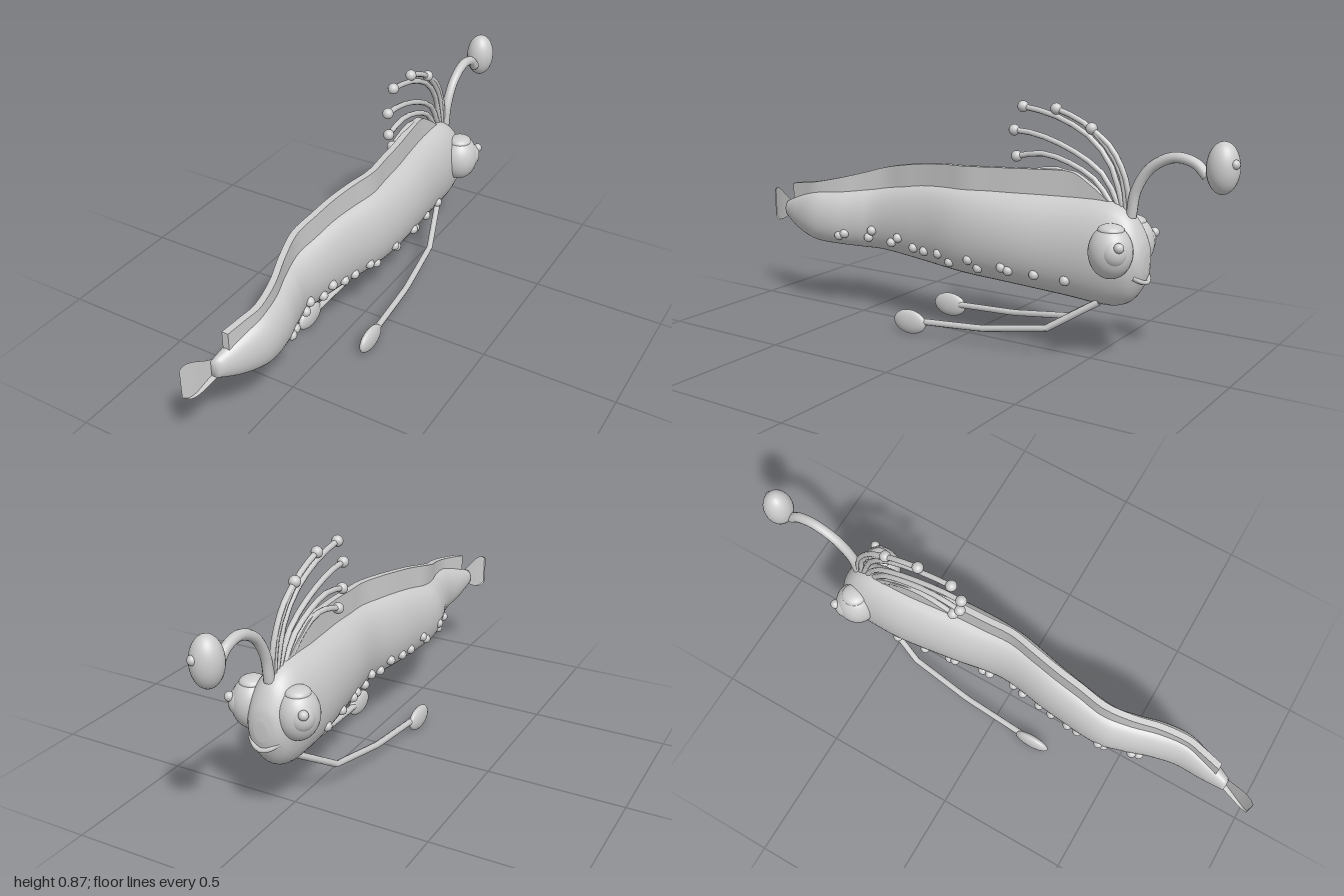
import * as THREE from 'three';

const V = (x, y, z) => new THREE.Vector3(x, y, z);

// Body stations from tail to snout: z, centre x, half width, bottom y, top y
const BODY = [
  [0.89, -0.012, 0.022, 0.340, 0.405], [0.80, 0.010, 0.043, 0.300, 0.440],
  [0.70, 0.026, 0.056, 0.275, 0.468], [0.60, 0.012, 0.064, 0.268, 0.477],
  [0.50, -0.018, 0.067, 0.263, 0.490], [0.40, -0.036, 0.069, 0.260, 0.507],
  [0.20, -0.013, 0.074, 0.250, 0.540], [0.00, 0.022, 0.081, 0.243, 0.552],
  [-0.20, 0.012, 0.099, 0.232, 0.560], [-0.40, -0.008, 0.102, 0.216, 0.565],
  [-0.53, -0.012, 0.098, 0.206, 0.566], [-0.60, -0.012, 0.092, 0.211, 0.552],
  [-0.65, -0.010, 0.080, 0.238, 0.515], [-0.685, -0.008, 0.055, 0.290, 0.455],
  [-0.697, -0.006, 0.025, 0.335, 0.405],
];

// Linear lookup of a station table at a given z
function at(table, z) {
  let i = 0;
  while (i < table.length - 2 && table[i + 1][0] > z) i++;
  const a = table[i], b = table[i + 1];
  const k = THREE.MathUtils.clamp((z - a[0]) / (b[0] - a[0]), 0, 1);
  return a.map((v, n) => v + (b[n] - v) * k);
}

// Smooth closed skin through elliptical cross-sections
function loft(table, steps, sides) {
  const centre = new THREE.CatmullRomCurve3(table.map(s => V(s[1], (s[3] + s[4]) / 2, s[0])), false, 'catmullrom');
  const size = new THREE.CatmullRomCurve3(table.map(s => V(s[2], (s[4] - s[3]) / 2, 0)), false, 'catmullrom');
  const pos = [], index = [];
  for (let i = 0; i <= steps + 2; i++) {
    const t = THREE.MathUtils.clamp((i - 1) / steps, 0, 1);
    const c = centre.getPoint(t), r = size.getPoint(t);
    const k = i === 0 || i === steps + 2 ? 0.001 : 1;
    for (let j = 0; j < sides; j++) {
      const a = j / sides * Math.PI * 2;
      pos.push(c.x + Math.cos(a) * r.x * k, c.y + Math.sin(a) * r.y * k, c.z);
    }
  }
  for (let i = 0; i < steps + 2; i++) for (let j = 0; j < sides; j++) {
    const a = i * sides + j, b = i * sides + (j + 1) % sides;
    index.push(a, a + sides, b, b, a + sides, b + sides);
  }
  const g = new THREE.BufferGeometry();
  g.setAttribute('position', new THREE.Float32BufferAttribute(pos, 3));
  g.setIndex(index);
  g.computeVertexNormals();
  return g;
}

// Thin upright blade: a box bent through the same kind of stations
function blade(table, steps) {
  const mid = new THREE.CatmullRomCurve3(table.map(s => V(s[1], (s[3] + s[4]) / 2, s[0])), false, 'catmullrom');
  const size = new THREE.CatmullRomCurve3(table.map(s => V(s[2], (s[4] - s[3]) / 2, 0)), false, 'catmullrom');
  const g = new THREE.BoxGeometry(2, 2, 2, 1, 4, steps);
  const p = g.attributes.position;
  for (let i = 0; i < p.count; i++) {
    const t = (1 - p.getZ(i)) / 2, c = mid.getPoint(t), r = size.getPoint(t);
    p.setXYZ(i, c.x + p.getX(i) * r.x, c.y + p.getY(i) * r.y, c.z);
  }
  g.computeVertexNormals();
  return g;
}

export function createModel() {
  const model = new THREE.Group();
  const skin = new THREE.MeshStandardMaterial({ color: 0xcccccc });
  skin.name = 'paleGrey';

  const add = (name, geometry, parent = model) => {
    const m = new THREE.Mesh(geometry, skin);
    m.name = name;
    parent.add(m);
    return m;
  };
  const ball = (name, c, r, parent, detail = 24) => {
    const m = add(name, new THREE.SphereGeometry(1, detail, Math.round(detail * 0.7)), parent);
    m.position.set(...c);
    m.scale.set(...r);
    return m;
  };
  const tube = (name, pts, r, parent, steps = 24, sides = 8) =>
    add(name, new THREE.TubeGeometry(new THREE.CatmullRomCurve3(pts.map(p => V(...p))), steps, r, sides), parent);
  const group = name => {
    const g = new THREE.Group();
    g.name = name;
    model.add(g);
    return g;
  };

  // Winding body
  add('body', loft(BODY, 90, 36));

  // Ribbon fin along the back: z and top edge y
  const ridge = [[0.84, 0.485], [0.77, 0.497], [0.7, 0.508], [0.6, 0.53], [0.5, 0.556], [0.4, 0.585],
    [0.3, 0.605], [0.2, 0.62], [0.1, 0.63], [0, 0.635], [-0.1, 0.64], [-0.2, 0.645], [-0.3, 0.649], [-0.41, 0.65],
    [-0.48, 0.615], [-0.55, 0.565]];
  add('dorsalFin', blade(ridge.map(([z, top]) => {
    const s = at(BODY, z);
    return [z, s[1], 0.012, Math.min(s[4], top) - 0.025, top];
  }), 80));

  // Flared tail fin
  add('tailFin', blade([
    [0.86, -0.006, 0.012, 0.350, 0.400], [0.90, -0.016, 0.010, 0.340, 0.410],
    [0.95, -0.030, 0.007, 0.316, 0.436], [0.98, -0.041, 0.005, 0.312, 0.443],
    [1.00, -0.050, 0.003, 0.325, 0.432],
  ], 16));

  for (const side of [1, -1]) {
    const label = side > 0 ? 'left' : 'right';
    const x = v => side * v - 0.005;

    // Bulging eye with iris, pupil and lid
    const eye = group(label + 'Eye');
    ball('eyeball', [x(0.085), 0.415, -0.605], [0.071, 0.09, 0.075], eye, 32);
    ball('iris', [x(0.112), 0.42, -0.63], [0.045, 0.05, 0.045], eye);
    ball('pupil', [x(0.138), 0.445, -0.66], [0.017, 0.017, 0.017], eye, 16);
    ball('lid', [x(0.085), 0.487, -0.605], [0.043, 0.022, 0.045], eye);

    // Long feeler with a paddle at its end
    const feeler = group(label + 'Feeler');
    const path = new THREE.CurvePath();
    const pts = [[0.03, 0.22, -0.54], [0.085, 0.112, -0.37], [0.112, 0.074, -0.125], [0.126, 0.058, 0.13]];
    for (let i = 0; i < 3; i++) {
      path.add(new THREE.LineCurve3(V(x(pts[i][0]), pts[i][1], pts[i][2]), V(x(pts[i + 1][0]), pts[i + 1][1], pts[i + 1][2])));
    }
    add('stem', new THREE.TubeGeometry(path, 24, 0.012, 8), feeler);
    ball('paddle', [x(0.131), 0.051, 0.178], [0.02, 0.045, 0.071], feeler);

    // Row of small light spots low on the flank: z, y
    const spots = group(label + 'Spots');
    const row = [[0.57, 0.312], [0.545, 0.322], [0.445, 0.315], [0.425, 0.345], [0.335, 0.31], [0.295, 0.335],
      [0.22, 0.308], [0.165, 0.305], [0.09, 0.31], [0.04, 0.285], [-0.055, 0.312], [-0.09, 0.284],
      [-0.195, 0.305], [-0.22, 0.296], [-0.32, 0.295], [-0.435, 0.29]];
    for (const [z, y] of row) {
      const [, cx, rx, lo, hi] = at(BODY, z);
      const n = (y - (lo + hi) / 2) / ((hi - lo) / 2);
      ball('spot', [cx + side * rx * Math.sqrt(1 - n * n), y, z], [0.018, 0.018, 0.018], spots, 14);
    }
  }

  // Smiling mouth
  tube('mouth', [[-0.062, 0.33, -0.672], [-0.035, 0.313, -0.692], [-0.006, 0.307, -0.7],
    [0.023, 0.313, -0.692], [0.05, 0.33, -0.672]], 0.008);

  // Arched lure with its bulb
  const lure = group('lure');
  tube('stalk', [[-0.005, 0.52, -0.635], [-0.005, 0.61, -0.65], [-0.005, 0.69, -0.70], [-0.005, 0.73, -0.78],
    [-0.005, 0.717, -0.85], [-0.005, 0.68, -0.89]], 0.018, lure, 32, 12);
  ball('bulb', [-0.005, 0.711, -0.94], [0.053, 0.084, 0.053], lure, 28);
  ball('bulbTip', [0.012, 0.728, -0.984], [0.016, 0.016, 0.016], lure, 14);

  // Crest of filaments sweeping back, each with a bead: [y, z] from root to tip
  const crest = group('crest');
  const strands = [
    [[0.52, -0.63], [0.64, -0.61], [0.74, -0.555], [0.80, -0.48]],
    [[0.54, -0.615], [0.65, -0.595], [0.74, -0.54], [0.82, -0.445], [0.857, -0.345]],
    [[0.55, -0.60], [0.68, -0.555], [0.77, -0.475], [0.835, -0.335], [0.857, -0.215]],
    [[0.55, -0.585], [0.645, -0.53], [0.715, -0.42], [0.765, -0.27], [0.773, -0.18]],
    [[0.55, -0.56], [0.625, -0.50], [0.68, -0.39], [0.70, -0.285], [0.682, -0.19]],
    [[0.54, -0.54], [0.61, -0.46], [0.648, -0.37], [0.645, -0.30], [0.62, -0.22]],
  ];
  strands.forEach((s, i) => {
    const x = -0.01 - 0.001 * i;
    tube('filament', s.map(([y, z]) => [x, y, z]), 0.01, crest, 8, 8);
    const [y, z] = s[s.length - 1];
    ball('bead', [x, y, z], [0.02, 0.02, 0.02], crest, 16);
  });

  return model;
}
